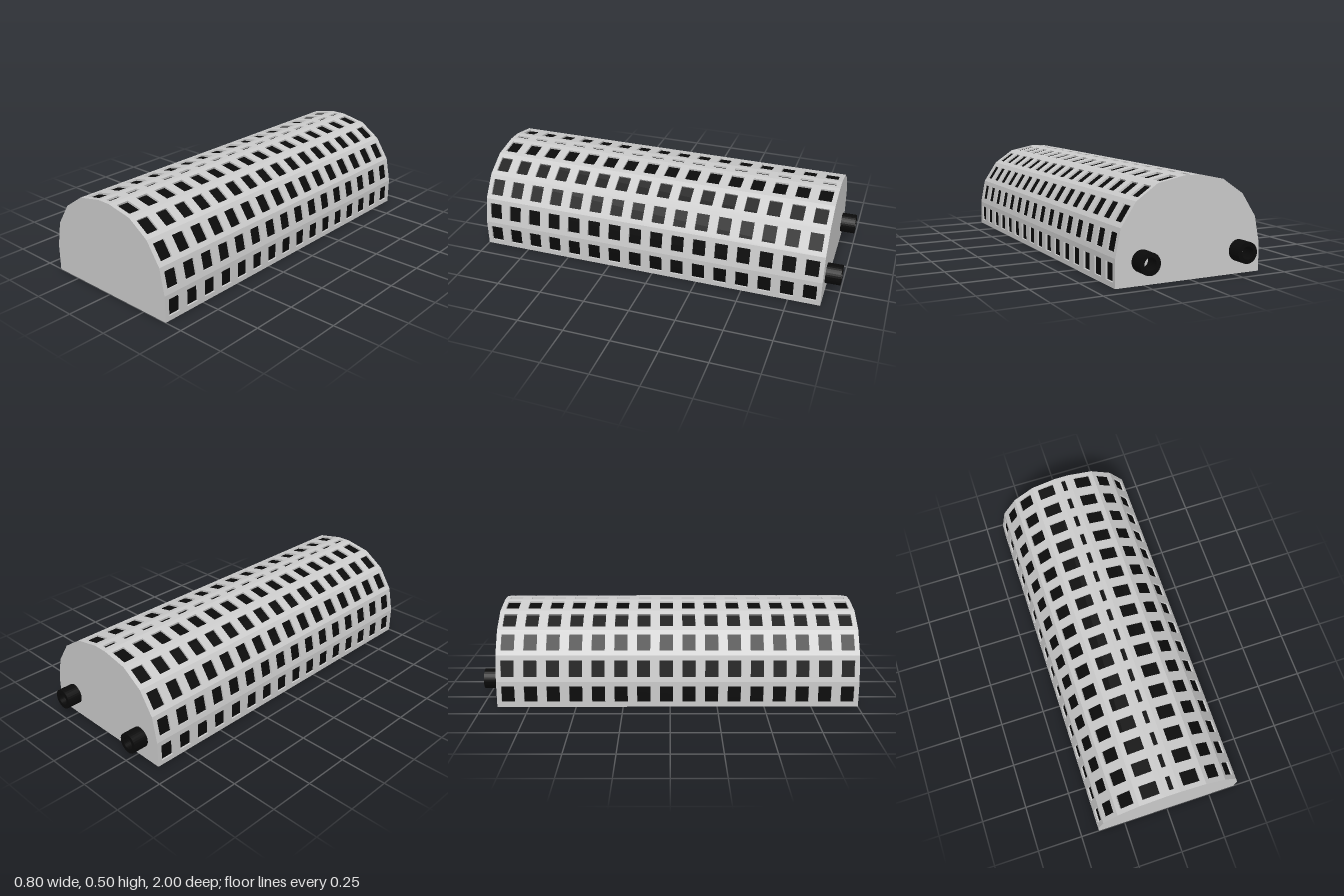
import * as THREE from 'three';

const FRONT = 1, BACK = -0.92, LENGTH = FRONT - BACK;
const ROWS = 16, PITCH = LENGTH / ROWS, WINDOW = 0.07, MARGIN = 0.026, RECESS = 0.01;

const grey = new THREE.MeshStandardMaterial({ color: 0xcccccc, flatShading: true });
const black = new THREE.MeshStandardMaterial({ color: 0x0a0a0a });

// Right half of the arched outline, then its mirror
const half = [[0.4, 0], [0.4, 0.14], [0.372, 0.278], [0.294, 0.395], [0.18, 0.472], [0.038, 0.5]];
const outline = [...half, ...half.map(([x, y]) => [-x, y]).reverse()].map(([x, y]) => new THREE.Vector2(x, y));

function add(parent, name, geometry, material) {
  const mesh = new THREE.Mesh(geometry, material);
  mesh.name = name;
  parent.add(mesh);
  return mesh;
}

function rectangle(Type, x, y, w, h) {
  const p = new Type();
  p.moveTo(x, y);
  p.lineTo(x + w, y);
  p.lineTo(x + w, y + h);
  p.lineTo(x, y + h);
  p.closePath();
  return p;
}

// One long wall facet with a row of recessed windows
function createFacet(a, b) {
  const facet = new THREE.Group();
  facet.name = 'wallFacet';
  const t = b.clone().sub(a), width = t.length();
  t.normalize();
  const opening = width - 2 * MARGIN;

  const shape = rectangle(THREE.Shape, 0, 0, width, LENGTH);
  for (let i = 0; i < ROWS; i++) {
    shape.holes.push(rectangle(THREE.Path, MARGIN, (i + 0.5) * PITCH - WINDOW / 2, opening, WINDOW));
  }
  const wall = new THREE.ExtrudeGeometry(shape, { depth: RECESS, bevelEnabled: false });
  add(facet, 'windowFrames', wall.translate(0, 0, -RECESS), grey);

  // Dark glass behind the openings
  const glass = new THREE.PlaneGeometry(opening + 0.01, LENGTH - 0.04);
  add(facet, 'windowGlass', glass.translate(width / 2, LENGTH / 2, -RECESS), black);

  // Local x runs up the outline, y along the hall, z outward
  const basis = new THREE.Matrix4().makeBasis(
    new THREE.Vector3(t.x, t.y, 0), new THREE.Vector3(0, 0, 1), new THREE.Vector3(t.y, -t.x, 0));
  facet.quaternion.setFromRotationMatrix(basis);
  facet.position.set(a.x, a.y, BACK);
  return facet;
}

// Hollow pipe stub on the back wall
function createPipe(x) {
  const outer = 0.054, inner = 0.032;
  const profile = [[inner, 0], [outer, 0], [outer, 0.08], [inner, 0.08], [inner, 0]];
  const mats = new THREE.LatheGeometry(profile.map(([r, y]) => new THREE.Vector2(r, y)), 32);
  const pipe = new THREE.Mesh(mats, new THREE.MeshStandardMaterial({
    color: 0x0a0a0a, flatShading: true, side: THREE.DoubleSide }));
  pipe.name = 'pipe';
  pipe.rotation.x = -Math.PI / 2;
  pipe.position.set(x, 0.117, BACK);
  return pipe;
}

export function createModel() {
  const model = new THREE.Group();
  model.name = 'archedHall';

  // Windowed shell
  for (let i = 0; i < outline.length - 1; i++) model.add(createFacet(outline[i], outline[i + 1]));

  // End walls
  const end = new THREE.ShapeGeometry(new THREE.Shape(outline));
  add(model, 'frontWall', end, grey).position.z = FRONT;
  const back = add(model, 'backWall', end, grey);
  back.position.z = BACK;
  back.rotation.y = Math.PI;

  // Floor, facing down
  const floor = add(model, 'floor', new THREE.PlaneGeometry(0.8, LENGTH), grey);
  floor.rotation.x = Math.PI / 2;
  floor.position.z = (FRONT + BACK) / 2;

  for (const x of [-0.275, 0.262]) model.add(createPipe(x));
  return model;
}
